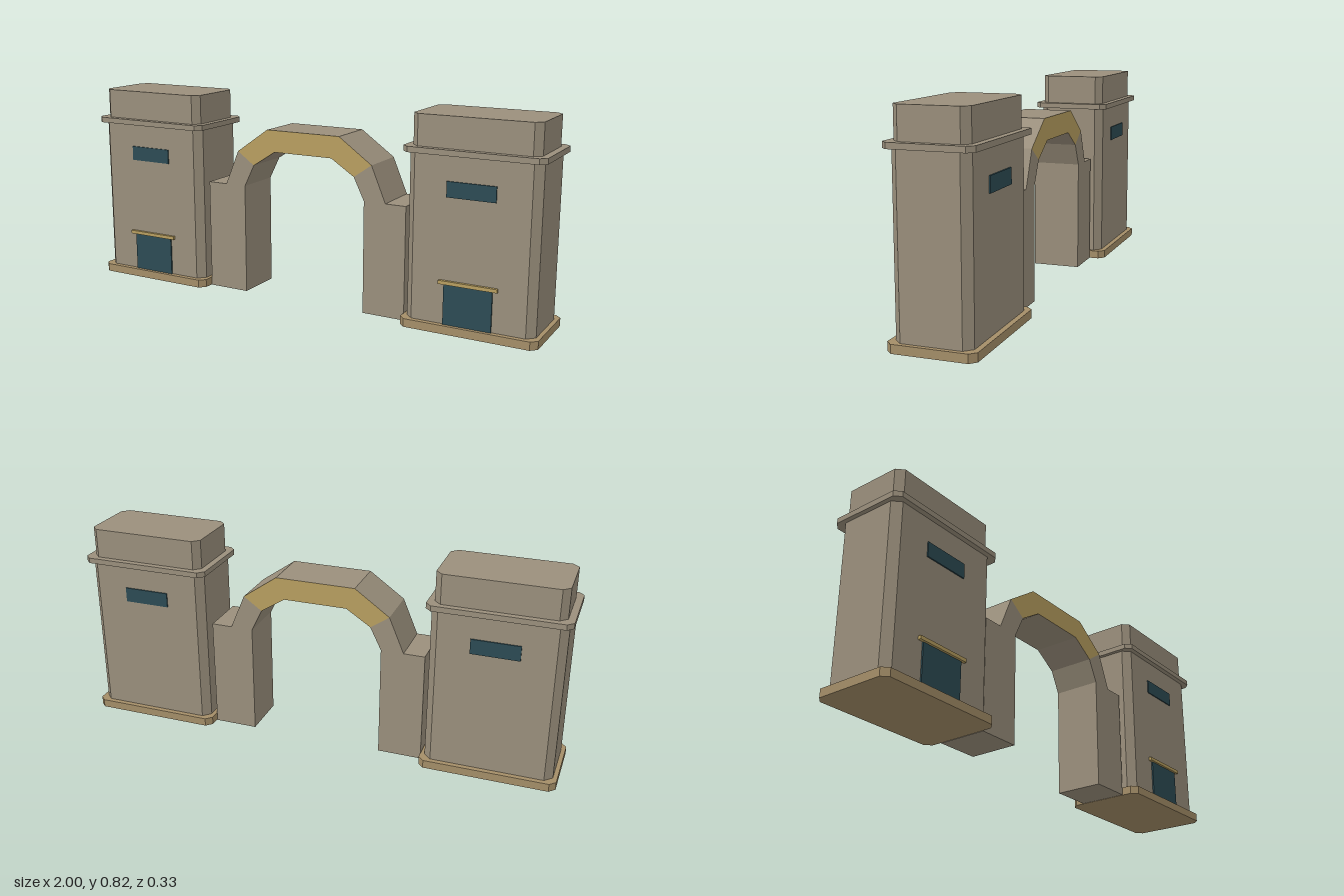
import * as THREE from 'three';

const material = (name, color) => {
  const m = new THREE.MeshStandardMaterial({ color });
  m.name = name;
  return m;
};

export function createModel() {
  const stone = material('stone', 0x9a8f7c);
  const tan = material('tan plinth', 0xa48e68);
  const gold = material('gold trim', 0xb89f60);
  const teal = material('dark teal', 0x2c4b54);

  const model = new THREE.Group();
  model.name = 'gateway';

  const add = (parent, name, geometry, mat, x = 0, y = 0, z = 0) => {
    const mesh = new THREE.Mesh(geometry, mat);
    mesh.name = name;
    mesh.position.set(x, y, z);
    parent.add(mesh);
    return mesh;
  };

  const extrude = (points, depth) =>
    new THREE.ExtrudeGeometry(
      new THREE.Shape(points.map(([x, y]) => new THREE.Vector2(x, y))),
      { depth, bevelEnabled: false });

  // Upright block with chamfered corners, from y0 to y1 (w, d are half sizes)
  const block = (w, d, c, y0, y1) =>
    extrude([
      [-w + c, -d], [w - c, -d], [w, -d + c], [w, d - c],
      [w - c, d], [-w + c, d], [-w, d - c], [-w, -d + c],
    ], y1 - y0).rotateX(-Math.PI / 2).translate(0, y0, 0);

  // Towers
  for (const side of [-1, 1]) {
    const tower = new THREE.Group();
    tower.name = side > 0 ? 'leftTower' : 'rightTower';
    tower.position.x = side * 0.728;
    model.add(tower);

    add(tower, 'plinth', block(0.272, 0.163, 0.024, 0, 0.033), tan);
    add(tower, 'body', block(0.255, 0.142, 0.03, 0.033, 0.678), stone);
    add(tower, 'cornice', block(0.272, 0.163, 0.024, 0.678, 0.7), stone);
    add(tower, 'attic', block(0.245, 0.137, 0.027, 0.7, 0.82), stone);

    // Openings: windows front and back, door with lintel in front
    for (const [name, z] of [['frontWindow', 0.144], ['backWindow', -0.144]]) {
      add(tower, name, new THREE.BoxGeometry(0.19, 0.06, 0.006), teal, 0, 0.552, z);
    }
    add(tower, 'door', new THREE.BoxGeometry(0.19, 0.156, 0.008), teal, 0, 0.111, 0.144);
    add(tower, 'lintel', new THREE.BoxGeometry(0.23, 0.014, 0.013), gold, 0, 0.198, 0.148);
  }

  // Arch legs, mirrored
  for (const side of [-1, 1]) {
    const leg = [
      [0.275, 0], [0.453, 0], [0.453, 0.456], [0.367, 0.456],
      [0.306, 0.6], [0.23, 0.547], [0.275, 0.456],
    ].map(([x, y]) => [side * x, y]);
    add(model, side > 0 ? 'leftArchLeg' : 'rightArchLeg', extrude(leg, 0.2), stone, 0, 0, -0.1);
  }

  // Arch crown: gold front and back faces, stone above and below
  const half = [[0.13, 0.611], [0.23, 0.547], [0.306, 0.6], [0.164, 0.7]];
  const mirrored = half.map(([x, y]) => [-x, y]).reverse();
  add(model, 'archCrown', extrude([...half, ...mirrored], 0.2), [gold, stone], 0, 0, -0.1);

  return model;
}
